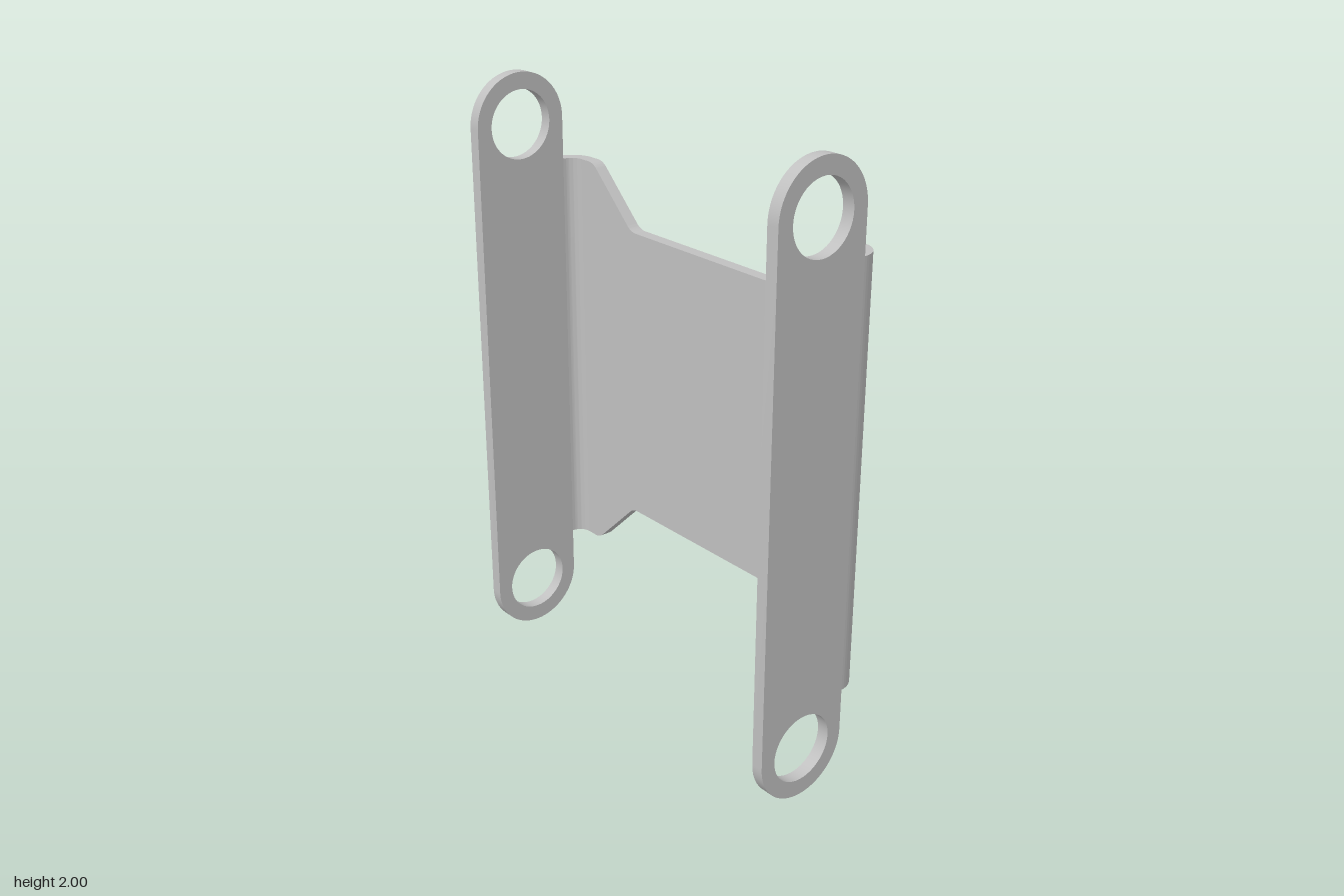
import * as THREE from 'three';
import { toCreasedNormals } from 'three/addons/utils/BufferGeometryUtils.js';

const T = 0.041;                   // sheet thickness
const X_OUT = 0.207, Z_OUT = 0.7;  // outer faces of web and flanges
const R = 0.084;                   // outer bend radius
const STEP = 0.307;                // height where web and bends begin

function extrude(shape, depth) {
  const geo = new THREE.ExtrudeGeometry(shape, { depth, bevelEnabled: false, curveSegments: 24 });
  return toCreasedNormals(geo, 0.5);
}

// closed polygon with softened corners where a point has a third value (cut length)
function softPolygon(points) {
  const shape = new THREE.Shape();
  points.forEach(([x, y, cut = 0], i) => {
    const corner = new THREE.Vector2(x, y);
    const toward = (p) => new THREE.Vector2(p[0], p[1]).sub(corner).setLength(cut).add(corner);
    const a = toward(points[(i + points.length - 1) % points.length]);
    const b = toward(points[(i + 1) % points.length]);
    if (i === 0) shape.moveTo(a.x, a.y); else shape.lineTo(a.x, a.y);
    if (cut) shape.quadraticCurveTo(x, y, b.x, b.y);
  });
  shape.closePath();
  return shape;
}

export function createModel() {
  const model = new THREE.Group();
  model.name = 'mountingBracket';
  const steel = new THREE.MeshStandardMaterial({ color: 0xc0c0c0 });
  steel.name = 'grey steel';

  const add = (parent, name, geo) => {
    const mesh = new THREE.Mesh(geo, steel);
    mesh.name = name;
    parent.add(mesh);
  };

  // web: upright plate with a tapered waist, drawn in z and y
  const half = Z_OUT - R;
  const top = [[half, 2 - STEP], [0.555, 2 - STEP, 0.025], [0.36, 1.503, 0.025]];
  const mirrorZ = (pts) => pts.map(([z, y, c]) => [-z, y, c]).reverse();
  const upper = [...top, ...mirrorZ(top)];
  const lower = upper.map(([z, y, c]) => [z, 2 - y, c]).reverse();
  const web = extrude(softPolygon([...upper, ...lower]), T);
  web.rotateY(-Math.PI / 2).translate(X_OUT, 0, 0);
  add(model, 'web', web);

  // flange: rounded strip with an eye at each end
  const r = 0.165, cx = X_OUT - R - r;
  const strip = new THREE.Shape();
  strip.absarc(cx, 2 - r, r, 0, Math.PI, false);
  strip.absarc(cx, r, r, Math.PI, Math.PI * 2, false);
  strip.closePath();
  for (const y of [0.168, 2 - 0.168]) {
    strip.holes.push(new THREE.Path().absarc(cx, y, 0.113, 0, Math.PI * 2, true));
  }
  const flange = extrude(strip, T).translate(0, 0, Z_OUT - T);

  // bend: quarter ring joining web and flange
  const ring = new THREE.Shape();
  ring.absarc(0, 0, R, -Math.PI / 2, 0, false);
  ring.absarc(0, 0, R - T, 0, -Math.PI / 2, true);
  ring.closePath();
  const bend = extrude(ring, 2 - 2 * STEP);
  bend.rotateX(-Math.PI / 2).translate(X_OUT - R, STEP, half);

  // the same side turned over makes the back one
  for (const name of ['frontSide', 'backSide']) {
    const side = new THREE.Group();
    side.name = name;
    add(side, 'flange', flange);
    add(side, 'bend', bend);
    if (name === 'backSide') {
      side.rotation.x = Math.PI;
      side.position.y = 2;
    }
    model.add(side);
  }
  return model;
}
